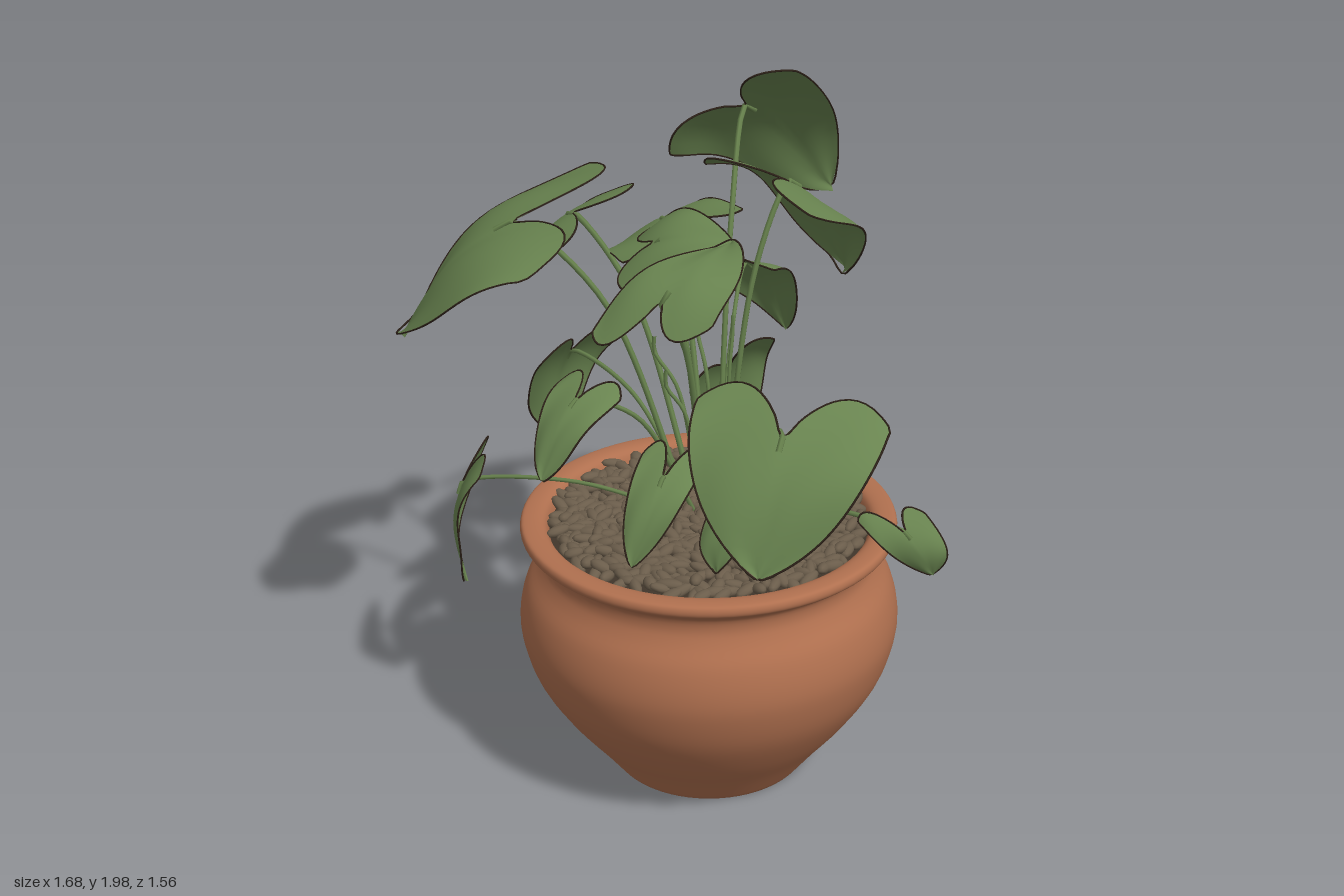
import * as THREE from 'three';
import { mergeGeometries } from 'three/addons/utils/BufferGeometryUtils.js';

const V = (p) => new THREE.Vector3(...p);
const CENTRE = { x: 0.11, z: 0.22 };

// Each leaf: left lobe, right lobe, tip
const LEAVES = [
  [[-0.36, 1.78, -0.17], [-0.06, 2.0, -0.28], [-0.16, 1.47, -0.77]],
  [[-0.1, 1.8, -0.04], [0.3, 1.8, 0.09], [0.12, 1.36, -0.44]],
  [[0.36, 1.4, 0.49], [0.76, 1.39, 0.34], [0.67, 1.0, 0.73]],
  [[-0.45, 1.73, 0.0], [-0.23, 1.62, 0.48], [-0.79, 1.24, 0.54]],
  [[-0.55, 1.46, 0.1], [-0.48, 1.58, -0.16], [-0.82, 1.3, -0.14]],
  [[-0.3, 1.46, 0.03], [-0.22, 1.52, -0.34], [-0.64, 1.26, -0.4]],
  [[-0.32, 1.36, -0.25], [-0.12, 1.38, -0.33], [-0.24, 1.0, -0.64]],
  [[-0.06, 1.41, 0.53], [0.21, 1.45, 0.43], [0.12, 1.62, 0.12]],
  [[-0.31, 1.53, 0.0], [-0.2, 1.46, 0.26], [0.08, 1.58, 0.06]],
  [[-0.23, 1.24, 0.41], [-0.06, 1.24, 0.41], [-0.15, 1.0, 0.65]],
  [[-0.59, 0.93, 0.42], [-0.46, 0.95, 0.58], [-0.55, 0.5, 0.57]],
  [[-0.42, 1.22, -0.05], [-0.44, 1.2, 0.26], [-0.59, 0.8, 0.09]],
  [[0.6, 0.93, 0.16], [0.68, 0.91, 0.0], [0.72, 0.68, -0.05]],
  [[0.09, 1.12, 0.44], [0.22, 1.11, 0.38], [0.15, 0.81, 0.62]],
  [[0.25, 0.93, 0.38], [0.38, 0.97, 0.37], [0.35, 0.8, 0.49]],
  [[-0.04, 1.18, -0.24], [-0.15, 1.07, -0.05], [-0.14, 0.82, -0.29]],
];

function seeded(seed) {
  return () => {
    seed = (seed * 16807) % 2147483647;
    return seed / 2147483647;
  };
}

// Heart-shaped blade spanned between two lobes and a tip, arched along its
// length, with drooping sides and a slightly wavy surface
function leafBlade(left, right, tip, phase) {
  const mid = left.clone().add(right).multiplyScalar(0.5);
  const axis = tip.clone().sub(mid);
  const side = right.clone().sub(left).multiplyScalar(0.5);
  const up = side.clone().cross(axis).normalize();
  if (up.y < 0) up.negate();
  const size = axis.length();
  const point = (s, v) => {
    const back = 0.28 * (1 - Math.abs(v) / 0.6) ** 2;
    const along = back + (1 - back) * s;
    const width = 1.22 * (1 - s) ** 0.8 * (1 + 0.9 * s);
    const lift = 0.13 * Math.sin(Math.PI * along) - 0.07 * v * v * (1 - s)
      + 0.025 * Math.abs(v) * Math.sin(7 * s + phase + 2 * v);
    return mid.clone().addScaledVector(axis, along)
      .addScaledVector(side, v * width).addScaledVector(up, lift * size);
  };
  const rows = 14, cols = 14, pos = [], index = [];
  for (let i = 0; i <= rows; i++) {
    for (let j = 0; j <= cols; j++) {
      pos.push(...point(i / rows, (j / cols) * 2 - 1).toArray());
      if (i < rows && j < cols) {
        const a = i * (cols + 1) + j, b = a + cols + 1;
        index.push(a, b, a + 1, b, b + 1, a + 1);
      }
    }
  }
  const geometry = new THREE.BufferGeometry();
  geometry.setAttribute('position', new THREE.Float32BufferAttribute(pos, 3));
  geometry.setIndex(index);
  geometry.computeVertexNormals();

  // Thin dry margin around the outline
  const outline = [];
  for (let i = 0; i < rows; i++) outline.push(point(i / rows, -1));
  for (let i = rows; i > 0; i--) outline.push(point(i / rows, 1));
  for (let j = cols; j > 0; j--) outline.push(point(0, (j / cols) * 2 - 1));
  const margin = new THREE.TubeGeometry(
    new THREE.CatmullRomCurve3(outline, true), 84, 0.003, 4, true);
  return { geometry, margin, base: point(0, 0), inner: point(0.12, 0) };
}

// Arching stalk from the crown to the notch of a leaf
function stalk(start, base, inner, radius) {
  const bend = start.clone().lerp(base, 0.5);
  bend.y = start.y + (base.y - start.y) * 0.72 + 0.04;
  const curve = new THREE.CatmullRomCurve3([start, bend, base, inner]);
  return new THREE.TubeGeometry(curve, 20, radius, 6);
}

export function createModel() {
  const mat = (name, color, side = THREE.FrontSide) => {
    const m = new THREE.MeshStandardMaterial({ color, side });
    m.name = name;
    return m;
  };
  const terracotta = mat('terracotta', 0xb0704f);
  const gravelBrown = mat('gravel brown', 0x6b5d4b);
  const soilBrown = mat('soil brown', 0x40362b);
  const leafGreen = mat('leaf green', 0x698450, THREE.DoubleSide);
  const stemGreen = mat('stem green', 0x657f4b);
  const marginBrown = mat('leaf margin brown', 0x2e2219);

  const model = new THREE.Group();
  model.name = 'pottedPlant';
  const add = (name, geometry, material, parent = model) => {
    const mesh = new THREE.Mesh(geometry, material);
    mesh.name = name;
    parent.add(mesh);
    return mesh;
  };

  // Pot: recessed foot, round belly, narrow neck, rolled rim
  const body = new THREE.SplineCurve([
    [0.298, 0], [0.365, 0.09], [0.45, 0.2], [0.523, 0.32], [0.557, 0.43], [0.56, 0.51],
    [0.54, 0.59], [0.505, 0.65], [0.49, 0.69], [0.497, 0.73], [0.535, 0.757], [0.55, 0.772],
    [0.55, 0.79], [0.538, 0.8], [0.5, 0.8], [0.475, 0.785], [0.46, 0.74],
  ].map((p) => new THREE.Vector2(...p))).getPoints(64);
  const foot = [[0, 0.03], [0.23, 0.03], [0.27, 0.012], [0.285, 0.0]]
    .map((p) => new THREE.Vector2(...p));
  add('pot', new THREE.LatheGeometry([...foot, ...body], 72), terracotta)
    .position.set(CENTRE.x, 0, CENTRE.z);

  // Soil under the gravel
  const soil = add('soil', new THREE.CircleGeometry(0.475, 48).rotateX(-Math.PI / 2), soilBrown);
  soil.position.set(CENTRE.x, 0.762, CENTRE.z);

  // Gravel: flattened, pointed pebbles in a jittered spiral
  const rand = seeded(4711);
  const pebbles = [];
  const count = 620;
  for (let i = 0; i < count; i++) {
    const r = 0.455 * Math.sqrt((i + 0.5) / count);
    const a = i * 2.39996 + rand() * 0.06;
    const g = new THREE.IcosahedronGeometry(1, 1);
    g.scale(0.03 + rand() * 0.014, 0.013 + rand() * 0.005, 0.015 + rand() * 0.006);
    g.rotateZ((rand() - 0.5) * 0.7);
    g.rotateY(rand() * Math.PI);
    g.translate(CENTRE.x + r * Math.cos(a), 0.774 + rand() * 0.018, CENTRE.z + r * Math.sin(a));
    pebbles.push(g);
  }
  add('gravel', mergeGeometries(pebbles), gravelBrown);

  // Foliage: one blade, margin and stalk per leaf
  LEAVES.forEach((corners, i) => {
    const leaf = new THREE.Group();
    leaf.name = `leaf${i + 1}`;
    const { geometry, margin, base, inner } = leafBlade(...corners.map(V), i * 1.7);
    add('leafBlade', geometry, leafGreen, leaf);
    add('leafMargin', margin, marginBrown, leaf);
    const start = new THREE.Vector3(0.07 + 0.12 * base.x, 0.76, 0.14 + 0.12 * base.z);
    add('leafStalk', stalk(start, base, inner, base.y > 1.3 ? 0.009 : 0.007), stemGreen, leaf);
    model.add(leaf);
  });

  // Young shoots around the crown
  for (let i = 0; i < 5; i++) {
    const a = i * 1.3 + 0.4;
    const start = new THREE.Vector3(0.07 + 0.04 * Math.cos(a), 0.76, 0.15 + 0.04 * Math.sin(a));
    const end = new THREE.Vector3(-0.02 + 0.13 * Math.cos(a), 1.12 + 0.05 * i, 0.13 + 0.1 * Math.sin(a));
    const top = end.clone().add(new THREE.Vector3(0, 0.05, 0));
    add('youngShoot', stalk(start, end, top, 0.006), stemGreen);
  }
  return model;
}
